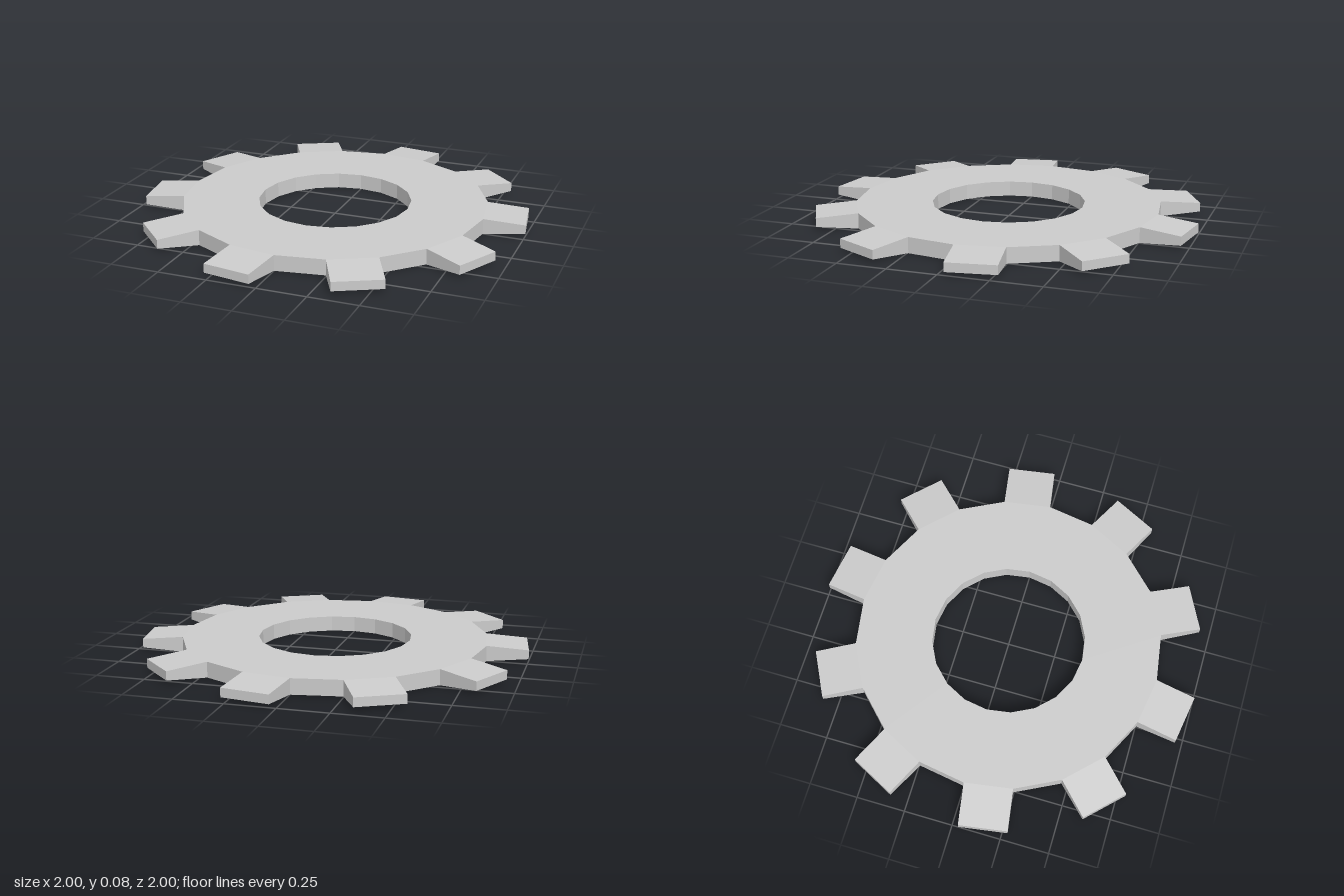
import * as THREE from 'three';

const SIDES = 20, STEP = (Math.PI * 2) / SIDES;
const INNER = 0.397, OUTER = 0.793, TOOTH = 0.212;
const HEIGHT = 0.08, TIP_LOW = 0.017, TIP_HIGH = 0.063;

const point = (r, i, y) => new THREE.Vector3(r * Math.cos(i * STEP), y, -r * Math.sin(i * STEP));

// Mesh from four-cornered faces, corners counter-clockwise from outside
function quadMesh(quads, name, material) {
  const points = quads.flatMap(([a, b, c, d]) => [a, b, c, a, c, d]);
  const geometry = new THREE.BufferGeometry().setFromPoints(points);
  geometry.computeVertexNormals();
  const mesh = new THREE.Mesh(geometry, material);
  mesh.name = name;
  return mesh;
}

// Upright wall over one side of the polygon, facing outward
const wall = (r, i) => [point(r, i, 0), point(r, i + 1, 0), point(r, i + 1, HEIGHT), point(r, i, HEIGHT)];

export function createModel() {
  const gear = new THREE.Group();
  gear.name = 'gear';
  const material = new THREE.MeshStandardMaterial({ color: 0xcccccc, flatShading: true });

  // Flat ring with a round bore; rim walls only between the teeth
  const ring = [];
  for (let i = 0; i < SIDES; i++) {
    const [ob0, ob1, ot1, ot0] = wall(OUTER, i);
    const [ib0, ib1, it1, it0] = wall(INNER, i);
    ring.push([it0, ot0, ot1, it1], [ib0, ib1, ob1, ob0], [ib1, ib0, it0, it1]);
    if (i % 2) ring.push([ob0, ob1, ot1, ot0]);
  }
  gear.add(quadMesh(ring, 'ring', material));

  // Teeth on every other side, thinning towards the tip
  for (let i = 0; i < SIDES; i += 2) {
    const base = wall(OUTER, i);
    const outward = point(TOOTH, i + 0.5, 0);
    const tip = base.map((p) => p.clone().add(outward).setY(p.y > 0 ? TIP_HIGH : TIP_LOW));
    const faces = base.map((p, k) => [p, base[(k + 1) % 4], tip[(k + 1) % 4], tip[k]]);
    gear.add(quadMesh([...faces, tip], 'tooth', material));
  }
  return gear;
}
